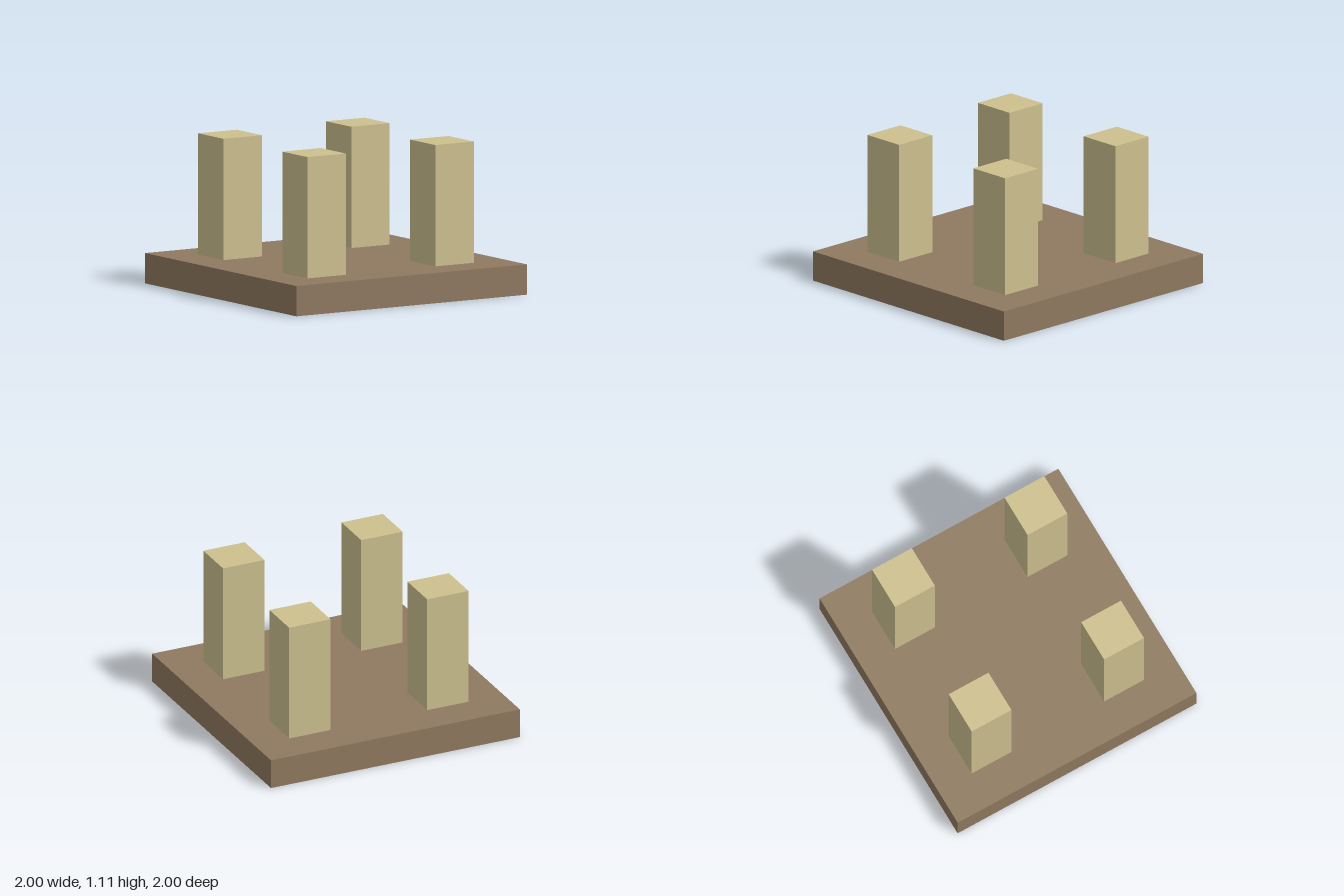
import * as THREE from 'three';

const BASE_HEIGHT = 0.222;
const POST_WIDTH = 0.333;
const POST_HEIGHT = 0.889;
const POST_OFFSET = 0.555;

function box(name, width, height, depth, material) {
  const geometry = new THREE.BoxGeometry(width, height, depth);
  geometry.translate(0, height / 2, 0); // origin at the underside
  const mesh = new THREE.Mesh(geometry, material);
  mesh.name = name;
  return mesh;
}

export function createModel() {
  const model = new THREE.Group();
  model.name = 'boardWithPosts';
  const brown = new THREE.MeshStandardMaterial({ color: 0x8f7960 });
  const tan = new THREE.MeshStandardMaterial({ color: 0xcdc08e });

  // Square base slab
  model.add(box('base', 2, BASE_HEIGHT, 2, brown));

  // Four square posts, one towards each corner
  for (const [side, x] of [['Left', 1], ['Right', -1]]) {
    for (const [end, z] of [['front', 1], ['back', -1]]) {
      const post = box(`${end}${side}Post`, POST_WIDTH, POST_HEIGHT, POST_WIDTH, tan);
      post.position.set(x * POST_OFFSET, BASE_HEIGHT, z * POST_OFFSET);
      model.add(post);
    }
  }
  return model;
}
